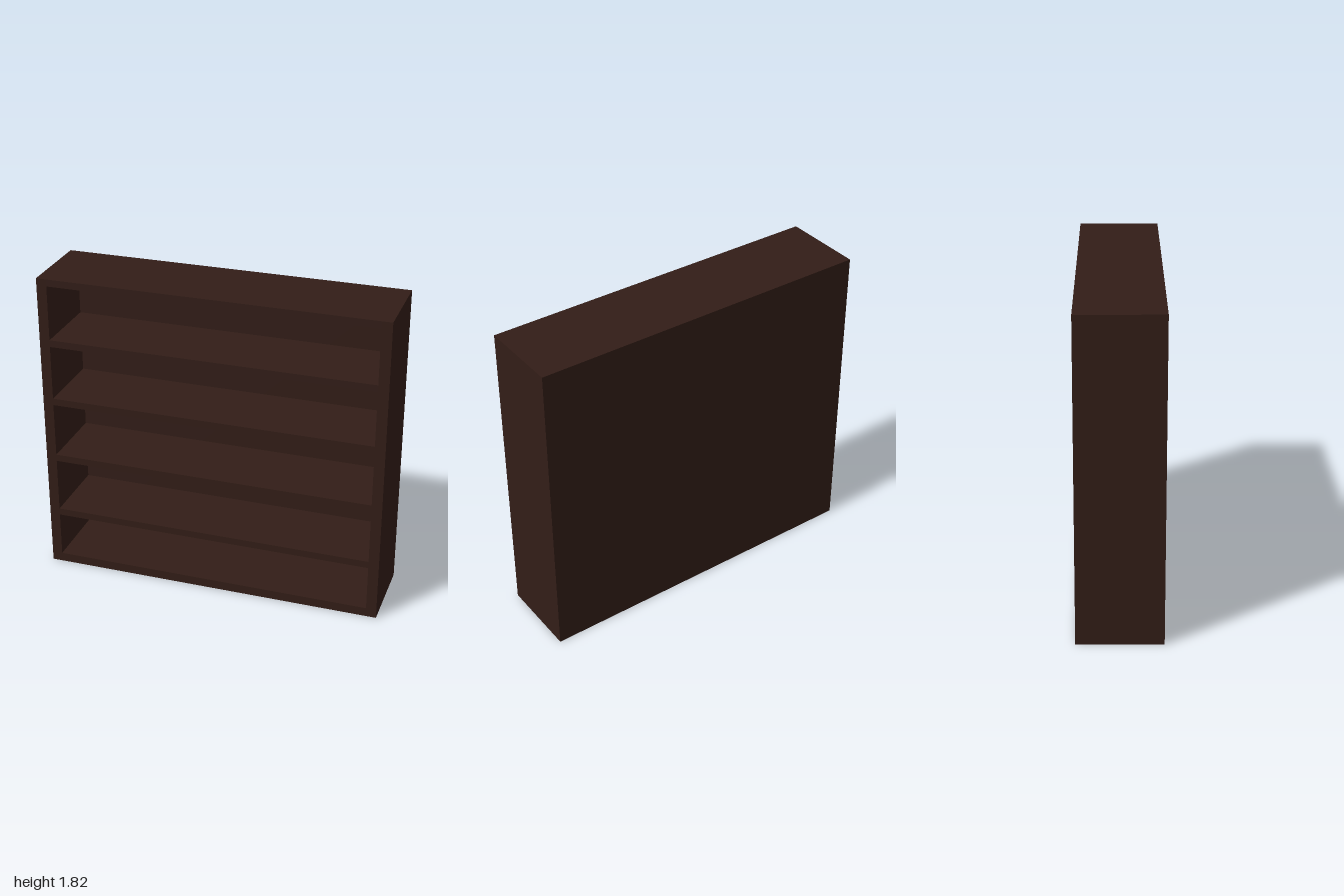
import * as THREE from 'three';

export function createModel() {
  const group = new THREE.Group();
  const wood = new THREE.MeshStandardMaterial({ color: 0x321d17 });

  const W = 1, H = 1.815, D = 0.237; // half width, height, half depth
  const side = 0.06, back = 0.04;
  const inner = W - side, innerBack = -D + back;

  // Board spanning the given min and max on each axis
  function board(name, [x0, x1], [y0, y1], [z0, z1]) {
    const mesh = new THREE.Mesh(new THREE.BoxGeometry(x1 - x0, y1 - y0, z1 - z0), wood);
    mesh.position.set((x0 + x1) / 2, (y0 + y1) / 2, (z0 + z1) / 2);
    mesh.name = name;
    group.add(mesh);
  }

  // Upright sides and back panel
  board('leftSide', [inner, W], [0, H], [-D, D]);
  board('rightSide', [-W, -inner], [0, H], [-D, D]);
  board('backPanel', [-inner, inner], [0, H], [-D, innerBack]);

  // Horizontal boards: base, four shelves, top, flush with the front
  const levels = [
    ['base', 0, 0.053],
    ['shelf1', 0.322, 0.363],
    ['shelf2', 0.685, 0.726],
    ['shelf3', 1.048, 1.089],
    ['shelf4', 1.411, 1.452],
    ['top', 1.774, H],
  ];
  for (const [name, y0, y1] of levels) {
    board(name, [-inner, inner], [y0, y1], [innerBack, D]);
  }

  return group;
}
